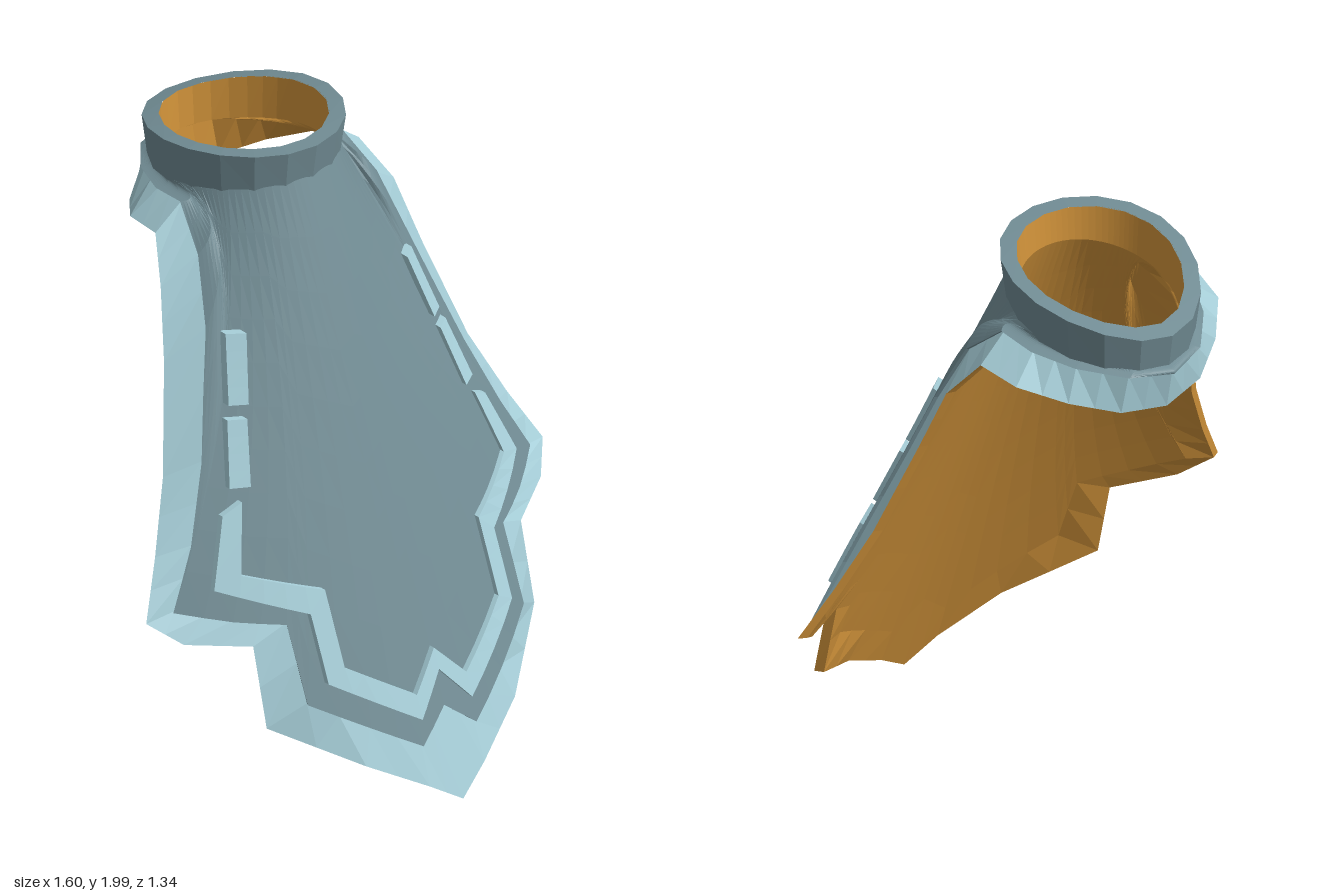
import * as THREE from 'three';

const V = (x, y, z) => new THREE.Vector3(x, y, z);
const lerp = THREE.MathUtils.lerp;

// Draped front surface: straight down the middle, curving back to the sides
const drape = (x, y) => 0.665 * (1 - y / 1.88) - (0.43 + 0.2 * y ** 3) * x * x;

// Point on the neck ring; a = 0 is the front, the back is slightly pointed
function ring(a, s, height) {
  const c = Math.cos(a);
  const z = -0.31 + 0.3 * s * c - 0.04 * Math.max(0, -c) ** 3;
  return V(0.27 * s * Math.sin(a), height(z), z);
}
const collarTop = z => 1.995 - 0.24 * z * z;
const collarBottom = z => 1.88 + 0.18 * z;

// Move a point towards the neck axis (negative moves it outwards)
function inset(p, d) {
  const dir = V(-p.x, 0, -0.31 - p.z).normalize();
  return p.clone().addScaledVector(dir, d);
}

// Faceted surface from columns of points, left to right and top to bottom
function sheet(name, cols, material, flip = false) {
  const pos = [];
  const tri = (a, b, c) => {
    for (const p of flip ? [a, c, b] : [a, b, c]) pos.push(p.x, p.y, p.z);
  };
  for (let i = 0; i + 1 < cols.length; i++) {
    for (let j = 0; j + 1 < cols[i].length; j++) {
      const a = cols[i][j], b = cols[i][j + 1], c = cols[i + 1][j + 1], d = cols[i + 1][j];
      tri(a, b, c);
      tri(a, c, d);
    }
  }
  const g = new THREE.BufferGeometry();
  g.setAttribute('position', new THREE.Float32BufferAttribute(pos, 3));
  g.computeVertexNormals();
  const mesh = new THREE.Mesh(g, material);
  mesh.name = name;
  return mesh;
}

// Half outline: neck angle in degrees, panel edge, hem (z follows the drape if omitted)
const OUTLINE = [
  [0, [0, 0.29], [0, 0, 0.66]],
  [10, [0.105, 0.2], [0.11, 0.075]],
  [19, [0.26, 0.3], [0.3, 0.19]],
  [29, [0.43, 0.41], [0.54, 0.34, 0.38]],
  [39, [0.43, 0.65], [0.54, 0.6, 0.32]],
  [48, [0.57, 0.68], [0.72, 0.63, 0.21]],
  [56, [0.71, 0.72], [0.8, 0.7, 0.13]],
  [63, [0.615, 0.9], [0.71, 0.87, 0.07]],
  [70, [0.52, 1.13], [0.615, 1.08, 0]],
  [77, [0.4, 1.5], [0.52, 1.4, -0.1]],
  [84, [0.35, 1.7, -0.13], [0.47, 1.61, -0.17]],
  [95, [0.31, 1.815, -0.25], [0.41, 1.735, -0.26]],
  [112, [0.295, 1.8, -0.37], [0.385, 1.72, -0.4]],
  [132, [0.235, 1.785, -0.5], [0.28, 1.68, -0.52]],
  [155, [0.13, 1.77, -0.62], [0.15, 1.64, -0.61]],
  [180, [0, 1.755, -0.665], [0, 1.62, -0.64]],
];
const onDrape = ([x, y, z]) => V(x, y, z ?? drape(x, y));

function buildRays() {
  const half = [];
  const ROWS = 10;
  const base = OUTLINE.map(([a, p, h]) => ({ a: a * Math.PI / 180, p: onDrape(p), h: onDrape(h), front: p.length < 3 }));
  const addRay = (a, p, h) => {
    const n = ring(a, 0.95, z => collarBottom(z) + 0.01);
    const rn = n.z - drape(n.x, n.y), rp = p.z - drape(p.x, p.y);
    const rows = [];
    for (let j = 0; j <= ROWS; j++) {
      const t = j / ROWS;
      const x = lerp(n.x, p.x, 0.65 * t + 0.35 * t * t), y = lerp(n.y, p.y, t);
      rows.push(V(x, y, drape(x, y) + rp + (rn - rp) * (1 - t) ** 3));
    }
    half.push({ a, rows, p, h });
  };
  base.forEach((b, i) => {
    addRay(b.a, b.p, b.h);
    const c = base[i + 1];
    if (!c) return;
    const p = b.p.clone().lerp(c.p, 0.5);
    if (b.front && c.front) p.z = drape(p.x, p.y);
    addRay((b.a + c.a) / 2, p, b.h.clone().lerp(c.h, 0.5));
  });
  const flipX = v => V(-v.x, v.y, v.z);
  const mirrored = half.slice(1).reverse().map(r => ({ a: -r.a, rows: r.rows.map(flipX), p: flipX(r.p), h: flipX(r.h) }));
  return [...mirrored, ...half];
}

// Raised band between an upper and a lower path, laid on the drape
function band(name, upper, lower, material) {
  const cols = [];
  const at = ([x, y], d) => V(x, y, drape(x, y) + d);
  const mix = (a, b, t) => [lerp(a[0], b[0], t), lerp(a[1], b[1], t)];
  const SUB = 4, last = upper.length - 1;
  for (let i = 0; i <= last * SUB; i++) {
    const k = Math.min(Math.floor(i / SUB), last - 1), t = i / SUB - k;
    const u = mix(upper[k], upper[k + 1], t), l = mix(lower[k], lower[k + 1], t);
    const end = i === 0 || i === last * SUB;
    const col = [at(u, 0), at(u, 0.03), at(l, 0.03), at(l, 0)];
    const sunk = [at(u, 0), at(u, 0), at(l, 0), at(l, 0)];
    if (end && i === 0) cols.push(sunk);
    cols.push(col);
    if (end && i > 0) cols.push(sunk);
  }
  return sheet(name, cols, material);
}

export function createModel() {
  const group = new THREE.Group();
  const slate = new THREE.MeshStandardMaterial({ color: 0x728d95 });
  slate.name = 'slate cloth';
  const pale = new THREE.MeshStandardMaterial({ color: 0xa8d0da });
  pale.name = 'pale blue trim';
  const orange = new THREE.MeshStandardMaterial({ color: 0xd1933a });
  orange.name = 'orange lining';

  const rays = buildRays();
  const raise = v => inset(v, -0.012);
  const line = v => inset(v, 0.03);

  // Cloth: raised panel, border, lining and hem thickness
  group.add(sheet('mainPanel', rays.map(r => [...r.rows.map(raise), r.p]), slate));
  group.add(sheet('border', rays.map(r => [r.p, r.h]), pale));
  group.add(sheet('lining', rays.map(r => [ring(r.a, 0.88, collarTop), ...r.rows.map(line), line(r.h)]), orange, true));
  group.add(sheet('hemEdge', rays.map(r => [r.h, line(r.h)]), orange));

  // Flared collar
  const collar = [];
  for (let i = 0; i <= 18; i++) {
    const a = -Math.PI + i * Math.PI / 9;
    collar.push([ring(a, 0.88, collarTop), ring(a, 1.06, collarTop), ring(a, 1, collarBottom), ring(a, 0.9, collarBottom)]);
  }
  group.add(sheet('collar', collar, slate));

  // Zigzag stripe along the lower panel
  const upperHalf = [[0, 0.47], [0.1, 0.36], [0.31, 0.5], [0.31, 0.735], [0.53, 0.815], [0.47, 1.02]];
  const lowerHalf = [[0, 0.405], [0.1, 0.285], [0.37, 0.465], [0.37, 0.675], [0.61, 0.78], [0.53, 0.985]];
  const mirrorPath = p => [...p.slice(1).reverse().map(([x, y]) => [-x, y]), ...p];
  group.add(band('zigzagStripe', mirrorPath(upperHalf), mirrorPath(lowerHalf), pale));

  // Two dashes above each end of the stripe
  const dashes = [
    [[0.325, 1.49], [0.375, 1.29], [0.375, 1.49], [0.425, 1.29]],
    [[0.39, 1.25], [0.435, 1.06], [0.44, 1.25], [0.49, 1.06]],
  ];
  for (const [inTop, inLow, outTop, outLow] of dashes) {
    const neg = ([x, y]) => [-x, y];
    group.add(band('leftDash', [inLow, inTop], [outLow, outTop], pale));
    group.add(band('rightDash', [neg(inTop), neg(inLow)], [neg(outTop), neg(outLow)], pale));
  }
  return group;
}
